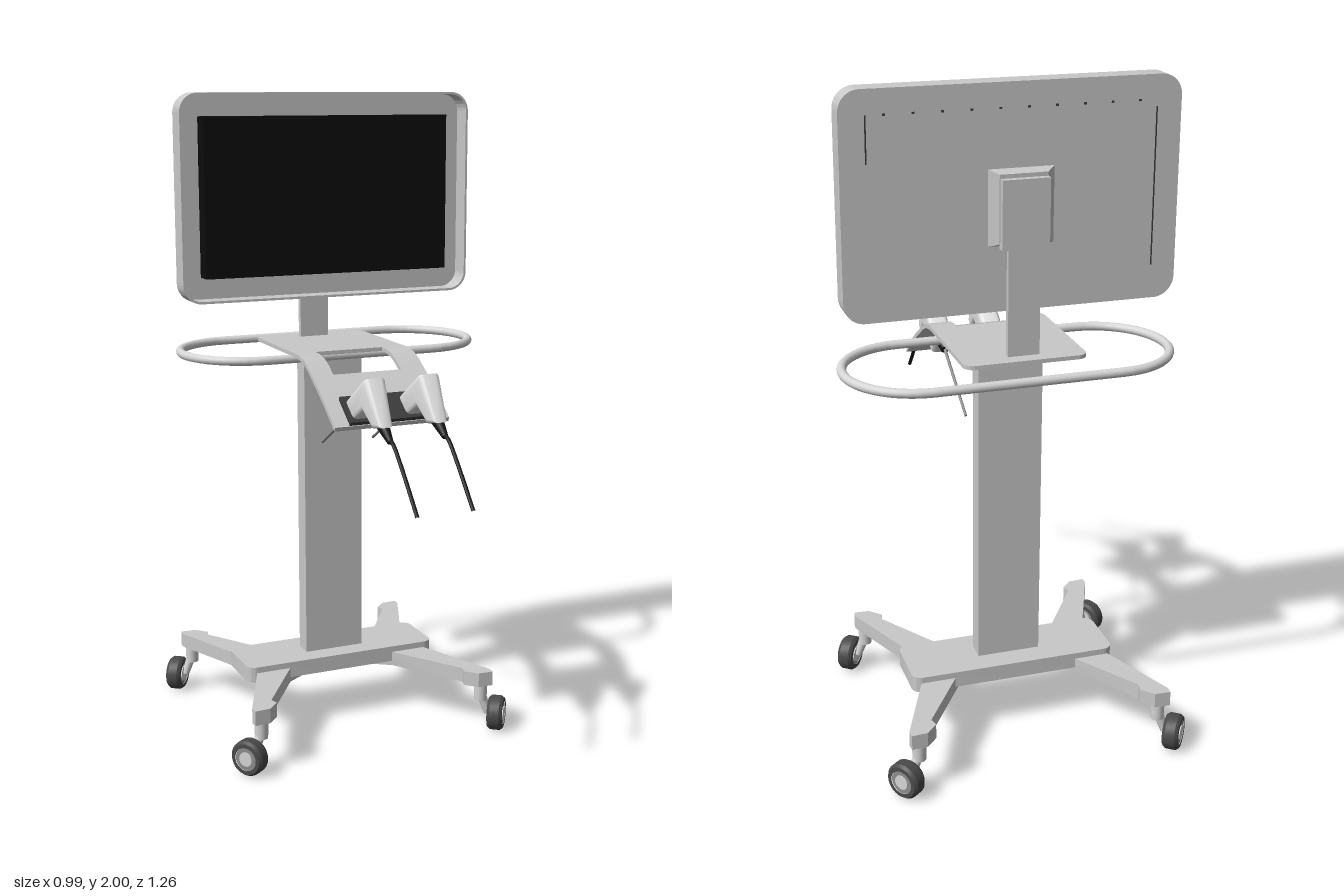
import * as THREE from 'three';
import { toCreasedNormals } from 'three/addons/utils/BufferGeometryUtils.js';

const mat = (name, color) => {
  const m = new THREE.MeshStandardMaterial({ color });
  m.name = name;
  return m;
};

export function createModel() {
  const M = {
    body: mat('light grey', 0xc9c9c9),
    rail: mat('pale grey', 0xd6d6d6),
    shell: mat('off white', 0xe4e4e4),
    screen: mat('screen black', 0x0c0c0c),
    rubber: mat('cable black', 0x151515),
    tyre: mat('tyre grey', 0x4a4a4a),
    holder: mat('dark grey', 0x3c3c3c),
    steel: mat('steel grey', 0x8c8c8c),
  };
  const model = new THREE.Group();
  model.name = 'monitorCart';
  const CX = -0.025; // stand centre line
  const CZ = -0.207;

  const add = (name, geo, material, parent = model) => {
    const mesh = new THREE.Mesh(geo, material);
    mesh.name = name;
    parent.add(mesh);
    return mesh;
  };
  // box given by its limits
  const box = (name, x0, x1, y0, y1, z0, z1, material, parent) => {
    const mesh = add(name, new THREE.BoxGeometry(x1 - x0, y1 - y0, z1 - z0), material, parent);
    mesh.position.set((x0 + x1) / 2, (y0 + y1) / 2, (z0 + z1) / 2);
    return mesh;
  };
  const roundRect = (T, w, h, r) => {
    const s = new T(), x = w / 2, y = h / 2;
    s.absarc(x - r, y - r, r, 0, Math.PI / 2);
    s.absarc(r - x, y - r, r, Math.PI / 2, Math.PI);
    s.absarc(r - x, r - y, r, Math.PI, Math.PI * 1.5);
    s.absarc(x - r, r - y, r, Math.PI * 1.5, Math.PI * 2);
    s.closePath();
    return s;
  };
  const extrude = (shape, depth) => toCreasedNormals(
    new THREE.ExtrudeGeometry(shape, { depth, bevelEnabled: false, curveSegments: 10 }), 0.6);
  const polygon = (pts) => new THREE.Shape(pts.map(([a, b]) => new THREE.Vector2(a, b)));
  // tapered round rod between two points
  const rod = (name, a, b, ra, rb, material, parent) => {
    const A = new THREE.Vector3(...a), B = new THREE.Vector3(...b), d = B.clone().sub(A);
    const mesh = add(name, new THREE.CylinderGeometry(rb, ra, d.length(), 20), material, parent);
    mesh.position.copy(A).add(B).multiplyScalar(0.5);
    mesh.quaternion.setFromUnitVectors(new THREE.Vector3(0, 1, 0), d.normalize());
    return mesh;
  };
  // sheet following a [z, y] profile, spanning x0..x1
  const strip = (name, profile, x0, x1, t, material, parent) => {
    const under = profile.map(([z, y]) => [z - t * 0.4, y - t]).reverse();
    const geo = extrude(polygon([...profile, ...under]), x1 - x0);
    geo.rotateY(-Math.PI / 2).translate(x1, 0, 0);
    return add(name, geo, material, parent);
  };

  // Base plate and column
  const plate = extrude(roundRect(THREE.Shape, 0.644, 0.2, 0.03), 0.05);
  plate.rotateX(-Math.PI / 2).translate(CX + 0.003, 0.168, -0.218);
  add('basePlate', plate, M.body);
  box('column', -0.122, 0.073, 0.21, 1.222, -0.245, -0.185, M.body);

  // Four legs with casters
  const legOutline = [[0.12, 0], [0.29, 0.02], [0.29, 0.084], [0.402, 0.352], [0.4, 0.375],
    [0.352, 0.372], [0.318, 0.337], [0.325, 0.31], [0.18, 0.09], [0.12, 0.05]];
  const tyreProfile = [[0.036, -0.024], [0.048, -0.024], [0.055, -0.015], [0.055, 0.015],
    [0.048, 0.024], [0.036, 0.024]].map(([r, y]) => new THREE.Vector2(r, y));
  for (const sx of [-1, 1]) for (const sz of [-1, 1]) {
    const leg = new THREE.Group();
    leg.name = (sz > 0 ? 'front' : 'back') + (sx > 0 ? 'Left' : 'Right') + 'Leg';
    model.add(leg);
    const geo = extrude(polygon(legOutline.map(([u, v]) => [CX + sx * u, -(CZ + sz * v)])), 0.046);
    geo.rotateX(-Math.PI / 2).translate(0, 0.153, 0);
    add('legBeam', geo, M.body, leg);

    const px = CX + sx * 0.372, pz = CZ + sz * 0.347;
    rod('casterPost', [px, 0.1, pz], [px, 0.16, pz], 0.02, 0.022, M.rail, leg);
    const caster = new THREE.Group();
    caster.name = 'caster';
    caster.position.set(CX + sx * 0.418, 0.056, CZ + sz * 0.37);
    caster.quaternion.setFromUnitVectors(new THREE.Vector3(0, 1, 0),
      new THREE.Vector3(sx * 0.79, 0, sz * 0.61).normalize());
    leg.add(caster);
    add('tyre', toCreasedNormals(new THREE.LatheGeometry(tyreProfile, 28), 0.5), M.tyre, caster);
    add('hub', new THREE.CylinderGeometry(0.036, 0.036, 0.044, 24), M.steel, caster);
    add('hubCap', new THREE.CylinderGeometry(0.022, 0.027, 0.05, 20), M.rail, caster);
    rod('casterFork', [CX + sx * 0.395, 0.056, CZ + sz * 0.353], [px, 0.125, pz], 0.012, 0.016, M.rail, leg);
  }

  // Stadium-shaped hand rail
  const railPath = new THREE.CurvePath();
  const V = (x, z) => new THREE.Vector3(x, 1.208, z);
  const zc = -0.293, rr = 0.206, xe = 0.275, pts = [];
  for (let i = 0; i <= 20; i++) {
    const a = -Math.PI / 2 + (i / 20) * Math.PI;
    pts.push(V(xe + rr * Math.cos(a), zc + rr * Math.sin(a)));
  }
  for (let i = 0; i <= 20; i++) {
    const a = Math.PI / 2 + (i / 20) * Math.PI;
    pts.push(V(-xe + rr * Math.cos(a), zc + rr * Math.sin(a)));
  }
  pts.forEach((p, i) => railPath.add(new THREE.LineCurve3(p, pts[(i + 1) % pts.length])));
  add('handRail', new THREE.TubeGeometry(railPath, 160, 0.0135, 12, true), M.rail);

  // Tray: flat top with rounded back corners, two rails beside the opening, sloping front
  const tray = new THREE.Group();
  tray.name = 'tray';
  model.add(tray);
  const tx0 = -0.207, tx1 = 0.157, r = 0.03;
  const top = new THREE.Shape();
  top.moveTo(tx0, 0.043);
  top.lineTo(tx1, 0.043);
  top.absarc(tx1 - r, 0.395 - r, r, 0, Math.PI / 2);
  top.absarc(tx0 + r, 0.395 - r, r, Math.PI / 2, Math.PI);
  const topGeo = extrude(top, 0.012);
  topGeo.rotateX(-Math.PI / 2).translate(0, 1.22, 0);
  add('trayTop', topGeo, M.body, tray);
  const bend = [[-0.043, 1.232], [-0.01, 1.231], [0.03, 1.223], [0.065, 1.207], [0.097, 1.186]];
  strip('traySideRight', bend, tx0, -0.14, 0.012, M.body, tray);
  strip('traySideLeft', bend, 0.08, tx1, 0.012, M.body, tray);
  strip('trayFront', [[0.097, 1.186], [0.15, 1.153], [0.2, 1.118], [0.27, 1.066]], tx0, tx1, 0.012, M.body, tray);
  strip('handpieceHolder', [[0.19, 1.138], [0.272, 1.077]], -0.16, 0.115, 0.02, M.holder, tray);

  // Two bent handpieces with cable and needle
  const grip = [[0.34, 1.215], [0.326, 1.212], [0.19, 1.122], [0.185, 1.105], [0.212, 1.062],
    [0.225, 1.062], [0.318, 1.118], [0.372, 1.078], [0.42, 1.088]];
  for (const x of [-0.113, 0.057]) {
    const hand = new THREE.Group();
    hand.name = x < 0 ? 'rightHandpiece' : 'leftHandpiece';
    hand.position.x = x;
    model.add(hand);
    const geo = new THREE.ExtrudeGeometry(polygon(grip), {
      depth: 0.038, bevelThickness: 0.014, bevelSize: 0.014, bevelOffset: -0.014, bevelSegments: 4 });
    geo.translate(0, 0, -0.019).rotateY(-Math.PI / 2);
    const p = geo.attributes.position;
    for (let i = 0; i < p.count; i++) {
      const k = THREE.MathUtils.clamp((p.getZ(i) - 0.33) / 0.09, 0, 1);
      p.setX(i, p.getX(i) * (1 - 0.38 * k));
    }
    add('grip', toCreasedNormals(geo, 0.6), M.shell, hand);
    rod('cableBoot', [0, 1.095, 0.385], [0, 1.052, 0.445], 0.02, 0.009, M.rubber, hand);
    const cable = new THREE.CatmullRomCurve3([[1.062, 0.43], [1.048, 0.465], [1.0, 0.515], [0.88, 0.622]]
      .map(([y, z]) => new THREE.Vector3(0, y, z)));
    add('cable', new THREE.TubeGeometry(cable, 24, 0.006, 8), M.rubber, hand);
    rod('collar', [0, 1.105, 0.205], [0, 1.084, 0.168], 0.02, 0.014, M.rubber, hand);
    rod('needle', [0, 1.09, 0.18], [0, 0.947, -0.058], 0.005, 0.004, M.steel, hand);
  }

  // Neck and stepped mount behind the monitor
  box('neck', -0.074, 0.02, 1.225, 1.6, -0.352, -0.334, M.body);
  const mountGeo = new THREE.BoxGeometry(0.19, 0.215, 0.024);
  const mp = mountGeo.attributes.position;
  for (let i = 0; i < mp.count; i++) {
    if (mp.getZ(i) < 0) mp.setXY(i, mp.getX(i) * 0.73, mp.getY(i) * 0.9);
  }
  mountGeo.computeVertexNormals();
  add('mountBase', mountGeo, M.body).position.set(-0.02, 1.66, -0.348);
  box('mountCover', -0.09, 0.047, 1.55, 1.745, -0.38, -0.355, M.body);

  // Monitor: open tray housing with a raised screen block inside
  const monitor = new THREE.Group();
  monitor.name = 'monitor';
  monitor.position.set(0, 1.682, -0.336);
  model.add(monitor);
  const W = 0.965, H = 0.636;
  add('backPanel', extrude(roundRect(THREE.Shape, W, H, 0.06), 0.008), M.body, monitor);
  const rim = roundRect(THREE.Shape, W, H, 0.06);
  rim.holes.push(roundRect(THREE.Path, W - 0.014, H - 0.014, 0.053));
  add('rim', extrude(rim, 0.062), M.body, monitor).position.z = 0.008;
  box('screen', -0.407, 0.407, -0.243, 0.247, 0.008, 0.066, M.screen, monitor);
  for (let i = 0; i < 10; i++) {
    const x = -0.36 + i * 0.08;
    box('ventHole', x - 0.004, x + 0.004, 0.246, 0.252, -0.001, 0.002, M.holder, monitor);
  }
  box('backSlotLong', -0.412, -0.408, -0.22, 0.23, -0.001, 0.002, M.holder, monitor);
  box('backSlotShort', 0.408, 0.412, 0.12, 0.25, -0.001, 0.002, M.holder, monitor);

  return model;
}
